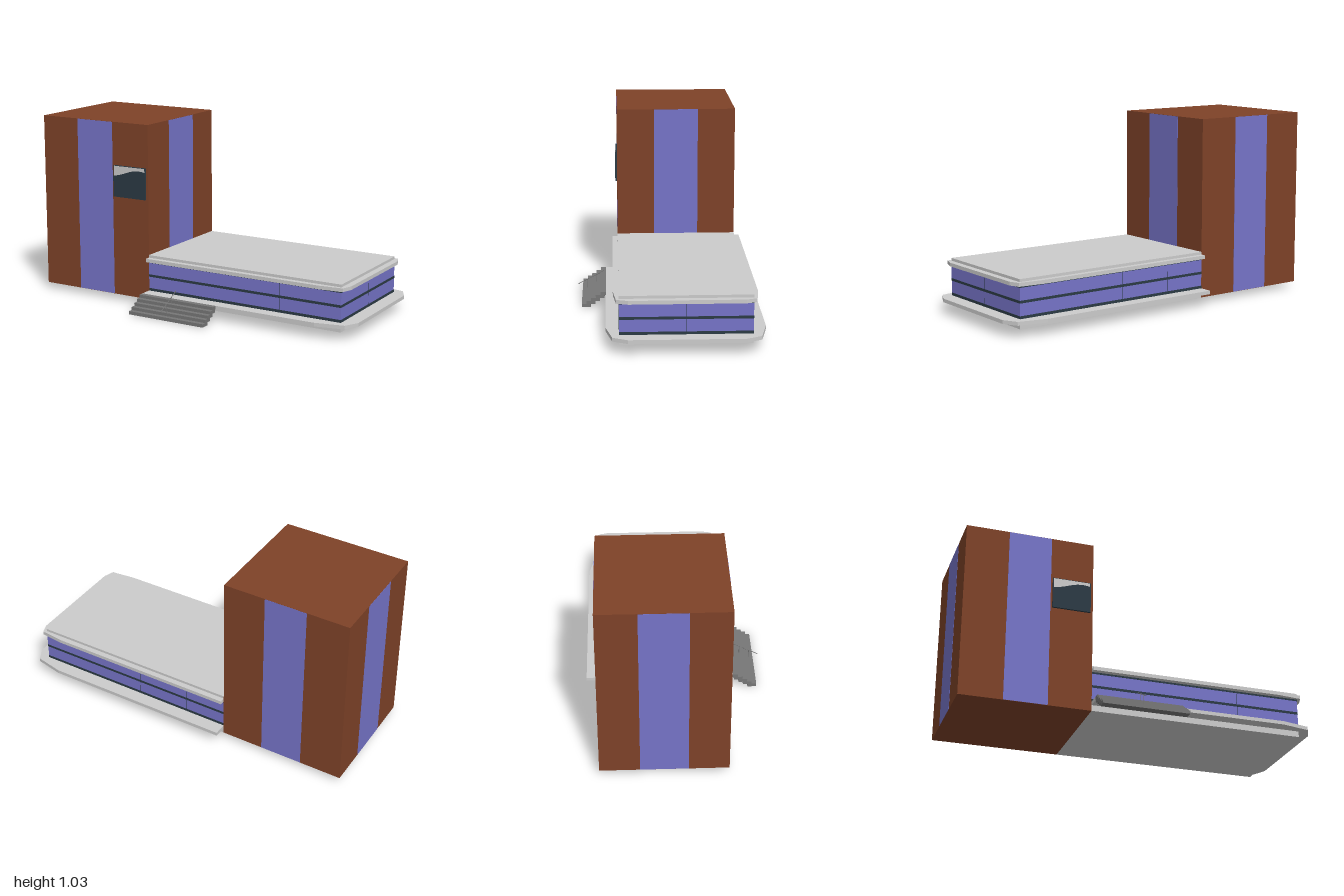
import * as THREE from 'three';

const mat = (color) => new THREE.MeshStandardMaterial({ color });

export function createModel() {
  const model = new THREE.Group();
  const brick = mat(0x7e4228), glass = mat(0x7674c8), dark = mat(0x2b3a44);
  const grey = mat(0xcccccc), stone = mat(0x777777);

  function add(name, geometry, material, parent = model) {
    const mesh = new THREE.Mesh(geometry, material);
    mesh.name = name;
    parent.add(mesh);
    return mesh;
  }

  // Box given by its lower and upper limits on each axis
  function box(name, x0, x1, y0, y1, z0, z1, material, parent) {
    const mesh = add(name, new THREE.BoxGeometry(x1 - x0, y1 - y0, z1 - z0), material, parent);
    mesh.position.set((x0 + x1) / 2, (y0 + y1) / 2, (z0 + z1) / 2);
    return mesh;
  }

  // Plan outline [x, z] raised from y0 to y1
  function slab(name, plan, y0, y1, material) {
    const shape = new THREE.Shape(plan.map(([x, z]) => new THREE.Vector2(x, -z)));
    const geometry = new THREE.ExtrudeGeometry(shape, { depth: y1 - y0, bevelEnabled: false });
    geometry.rotateX(-Math.PI / 2).translate(0, y0, 0);
    return add(name, geometry, material);
  }

  const back = -0.42, front = 0.265, mid = (back + front) / 2;
  const joint = -0.28, end = 0.92;

  // Tower with a full-height glass strip on every side
  const tower = new THREE.Group();
  tower.name = 'tower';
  model.add(tower);
  box('towerWalls', -1, joint, 0.035, 1.035, back, front, brick, tower);
  const e = 0.001;
  box('towerGlassFrontBack', -0.76, -0.52, 0.036, 1.034, back - e, front + e, glass, tower);
  box('towerGlassSides', -1 - e, joint + e, 0.036, 1.034, -0.205, 0.05, glass, tower);

  // Sign panel: pale backing with a dark wavy lower part
  const sign = new THREE.Group();
  sign.name = 'signPanel';
  model.add(sign);
  box('signBacking', -0.51, -0.295, 0.61, 0.79, front, 0.273, dark, sign);
  box('signUpper', -0.505, -0.3, 0.7, 0.787, front, 0.2745, grey, sign);
  const wave = new THREE.Shape();
  wave.moveTo(-0.51, 0.61);
  wave.lineTo(-0.295, 0.61);
  wave.lineTo(-0.295, 0.765);
  wave.bezierCurveTo(-0.39, 0.785, -0.42, 0.74, -0.51, 0.73);
  const waveGeometry = new THREE.ExtrudeGeometry(wave, { depth: 0.011, bevelEnabled: false });
  add('signLower', waveGeometry.translate(0, 0, front), dark, sign);

  // Low wing: foundation, glazing and roof
  box('foundation', joint, end, 0.035, 0.07, back, front, grey);
  box('wingGlass', joint, end, 0.085, 0.262, back, front, glass);
  for (const [y0, y1] of [[0.088, 0.103], [0.169, 0.183], [0.25, 0.26]]) {
    box('wingBand', joint, end + e, y0, y1, back - e, front + e, dark);
  }
  box('roof', joint, end, 0.26, 0.295, back, front, grey);

  // Thin upright joints in the glazing
  const m = 0.001;
  box('frontMullion', 0.555 - m, 0.555 + m, 0.088, 0.26, front - 0.01, front + e, dark);
  box('endMullion', end - 0.01, end + e, 0.088, 0.26, mid - m, mid + m, dark);
  for (const x of [0.27, -0.04]) {
    box('backMullion', x - m, x + m, 0.088, 0.26, back - e, back + 0.01, dark);
  }

  // Projecting terrace and eaves, cut off at the far corners
  slab('terrace', [
    [joint, 0.335], [0.8, 0.335], [0.96, 0.3], [1, 0.22],
    [1, -0.38], [0.96, -0.46], [0.8, -0.495], [joint, -0.495],
  ], 0.068, 0.088, grey);
  slab('eaves', [
    [joint, 0.295], [0.8, 0.295], [0.935, 0.28], [0.955, 0.22],
    [0.955, -0.38], [0.935, -0.435], [0.8, -0.45], [joint, -0.45],
  ], 0.26, 0.28, grey);

  // Steps: stepped on top and underneath
  const steps = new THREE.Group();
  steps.name = 'steps';
  model.add(steps);
  for (let i = 0; i < 5; i++) {
    const z1 = 0.47 - i * 0.0262, y0 = i * 0.0172;
    box('step', joint, 0.2, y0, y0 + 0.019, Math.max(z1 - 0.05, 0.333), z1, stone, steps);
  }

  // Central handrail
  const handrail = new THREE.Group();
  handrail.name = 'handrail';
  model.add(handrail);
  const rods = [
    [[0.495, 0.058], [0.345, 0.138]],
    [[0.443, 0.02], [0.443, 0.086]],
    [[0.388, 0.052], [0.388, 0.115]],
  ];
  for (const [[z0, y0], [z1, y1]] of rods) {
    const a = new THREE.Vector3(-0.05, y0, z0), b = new THREE.Vector3(-0.05, y1, z1);
    const path = new THREE.LineCurve3(a, b);
    add('railRod', new THREE.TubeGeometry(path, 1, 0.002, 8), stone, handrail);
  }

  return model;
}
